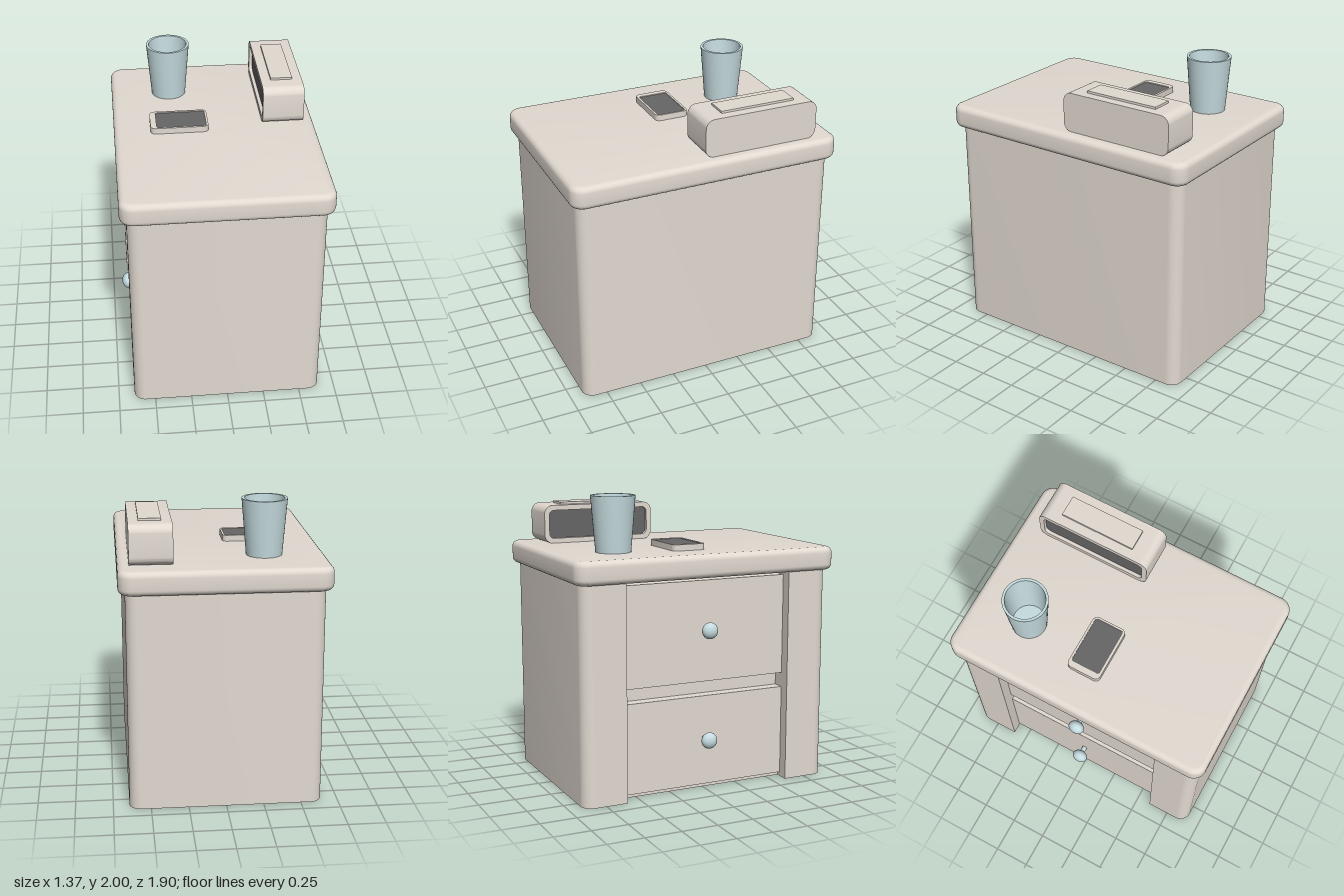
import * as THREE from 'three';
import { toCreasedNormals } from 'three/addons/utils/BufferGeometryUtils.js';

// Rounded rectangle centred on (cx, cy)
function roundRect(w, h, r, cx = 0, cy = 0, Type = THREE.Shape) {
  const s = new Type();
  const x = w / 2 - r, y = h / 2 - r;
  s.absarc(cx + x, cy + y, r, 0, Math.PI / 2, false);
  s.absarc(cx - x, cy + y, r, Math.PI / 2, Math.PI, false);
  s.absarc(cx - x, cy - y, r, Math.PI, Math.PI * 1.5, false);
  s.absarc(cx + x, cy - y, r, Math.PI * 1.5, Math.PI * 2, false);
  s.closePath();
  return s;
}

// Extrude from 0 to depth with an optional rounded edge kept inside the outline
function extrude(shape, depth, bevel = 0) {
  const g = new THREE.ExtrudeGeometry(shape, {
    depth: depth - 2 * bevel, curveSegments: 10, bevelEnabled: bevel > 0,
    bevelSize: bevel, bevelOffset: -bevel, bevelThickness: bevel, bevelSegments: 6,
  });
  g.translate(0, 0, bevel);
  return toCreasedNormals(g, 0.6);
}

// Shape drawn in (x, -z), rising from y0
const upward = (shape, y0, depth, bevel) =>
  extrude(shape, depth, bevel).rotateX(-Math.PI / 2).translate(0, y0, 0);

// Shape drawn in (-z, y), running towards +x from x0
const sideways = (shape, x0, depth) =>
  extrude(shape, depth).rotateY(Math.PI / 2).translate(x0, 0, 0);

export function createModel() {
  const model = new THREE.Group();
  const wood = new THREE.MeshStandardMaterial({ color: 0xe2dad1 });
  wood.name = 'warm grey';
  const glass = new THREE.MeshStandardMaterial({ color: 0xc6dce0 });
  glass.name = 'pale blue';
  const dark = new THREE.MeshStandardMaterial({ color: 0x666666 });
  dark.name = 'dark grey';

  const add = (name, geometry, material, parent = model) => {
    const mesh = new THREE.Mesh(geometry, material);
    mesh.name = name;
    parent.add(mesh);
    return mesh;
  };

  // Cabinet body with a full-height drawer recess on the -x side
  const X = 0.642, Z = 0.906, R = 0.08, open = 0.6, back = -0.485;
  const body = new THREE.Shape();
  body.absarc(X - R, Z - R, R, 0, Math.PI / 2, false);
  body.absarc(-X + R, Z - R, R, Math.PI / 2, Math.PI, false);
  body.lineTo(-X, open);
  body.lineTo(back, open);
  body.lineTo(back, -open);
  body.lineTo(-X, -open);
  body.absarc(-X + R, -Z + R, R, Math.PI, Math.PI * 1.5, false);
  body.absarc(X - R, -Z + R, R, Math.PI * 1.5, Math.PI * 2, false);
  body.closePath();
  add('cabinetBody', upward(body, 0, 1.48), wood);

  // Floor of the drawer recess
  add('recessFloor', new THREE.BoxGeometry(0.07, 0.03, 2 * open).translate(-0.505, 0.015, 0), wood);

  // Table top with soft edges
  add('tableTop', upward(roundRect(1.374, 1.896, 0.09), 1.467, 0.158, 0.04), wood);

  // Drawers with round knobs
  [['lowerDrawer', 0.028, 0.65, 0.355], ['upperDrawer', 0.75, 1.44, 1.11]].forEach(([name, y0, y1, knobY]) => {
    const drawer = new THREE.Group();
    drawer.name = name;
    model.add(drawer);
    add('drawerFront', new THREE.BoxGeometry(0.087, y1 - y0, 2 * open)
      .translate(-0.5235, (y0 + y1) / 2, 0), wood, drawer);
    add('knobStem', new THREE.CylinderGeometry(0.018, 0.018, 0.08, 16)
      .rotateZ(Math.PI / 2).translate(-0.6, knobY, 0), glass, drawer);
    add('knob', new THREE.SphereGeometry(0.056, 24, 16)
      .scale(0.75, 1, 1).translate(-0.643, knobY, 0), glass, drawer);
  });

  // Clock: solid back, raised bezel, inset display facing -x and a button on top
  const clock = new THREE.Group();
  clock.name = 'clock';
  model.add(clock);
  const cz = 0.394, cy = 1.757;
  const bezel = roundRect(0.81, 0.266, 0.06, cz, cy);
  bezel.holes.push(roundRect(0.74, 0.196, 0.035, cz, cy, THREE.Path));
  add('clockBezel', sideways(bezel, 0.33, 0.03), wood, clock);
  add('clockBody', sideways(roundRect(0.81, 0.266, 0.06, cz, cy), 0.36, 0.252), wood, clock);
  add('clockDisplay', sideways(roundRect(0.74, 0.196, 0.035, cz, cy), 0.354, 0.008), dark, clock);
  add('clockButton', new THREE.BoxGeometry(0.148, 0.03, 0.527)
    .translate(0.471, 1.89, -0.394), wood, clock);

  // Phone: base, rim and inset screen
  const phone = new THREE.Group();
  phone.name = 'phone';
  model.add(phone);
  const px = -0.242, pz = 0.05;
  const rim = roundRect(0.393, 0.237, 0.035, px, pz);
  rim.holes.push(roundRect(0.337, 0.206, 0.015, px + 0.013, pz, THREE.Path));
  add('phoneBase', upward(roundRect(0.393, 0.237, 0.035, px, pz), 1.62, 0.036), wood, phone);
  add('phoneRim', upward(rim, 1.656, 0.011), wood, phone);
  add('phoneScreen', upward(roundRect(0.337, 0.206, 0.015, px + 0.013, pz), 1.654, 0.008), dark, phone);

  // Tapered cup, open at the top
  const profile = [[0, 1.624], [0.119, 1.624], [0.15, 2], [0.132, 2], [0.108, 1.65], [0, 1.65]]
    .map(([r, y]) => new THREE.Vector2(r, y));
  add('cup', toCreasedNormals(new THREE.LatheGeometry(profile, 40), 0.6)
    .translate(-0.28, 0, -0.538), glass);

  return model;
}
